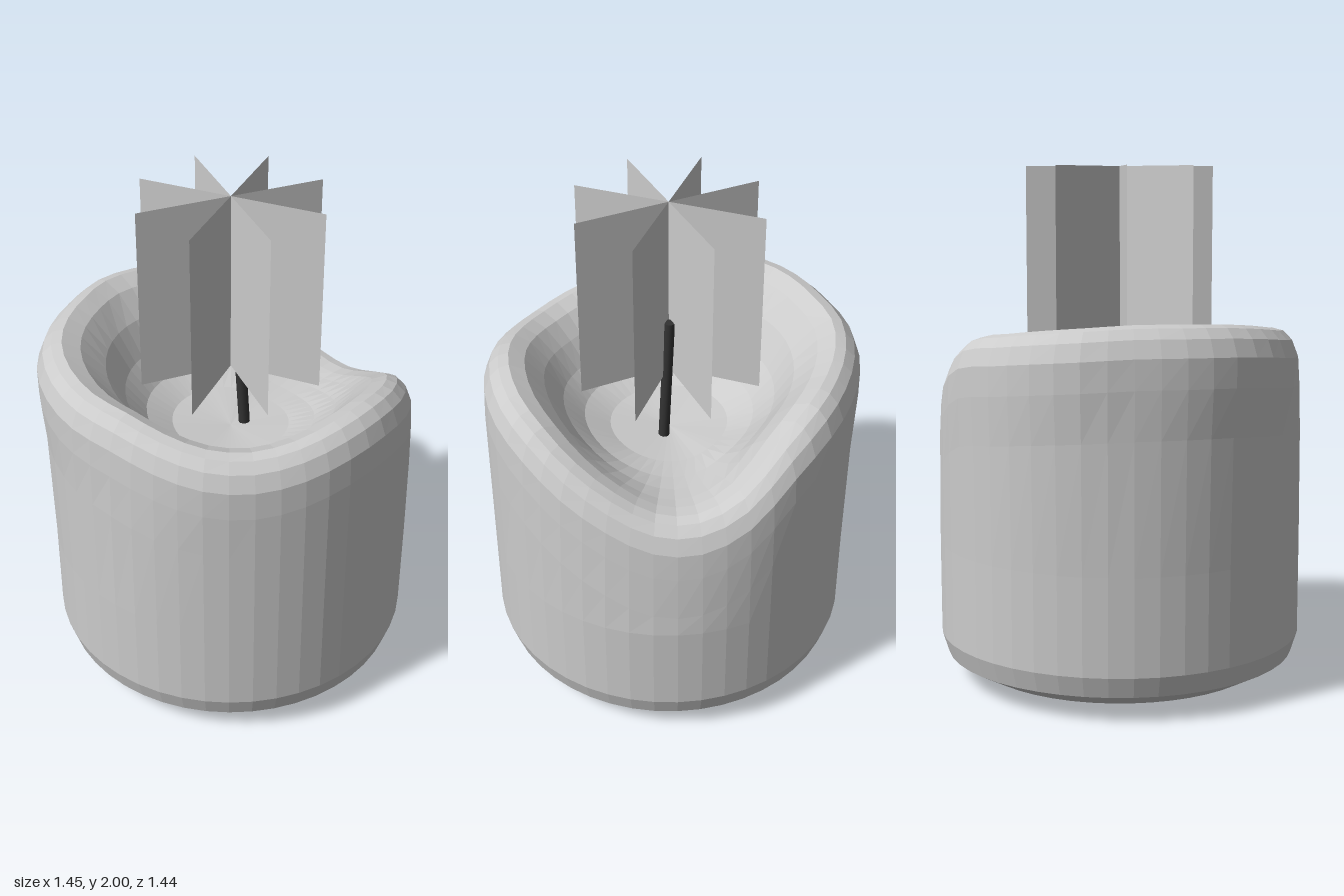
import * as THREE from 'three';

// Rim height and sideways bulge every 15 degrees, turning from +x towards +z
const RIM = [1.11, 1.2, 1.29, 1.345, 1.37, 1.36, 1.33, 1.31, 1.32, 1.35, 1.385, 1.4,
  1.42, 1.435, 1.44, 1.44, 1.43, 1.415, 1.395, 1.37, 1.28, 1.12, 1.04, 1.04];
const BULGE = [-0.03, -0.02, -0.01, 0, 0, 0, 0, 0, 0, -0.01, -0.01, 0.01,
  0.025, 0.03, 0.02, 0.01, 0.025, 0.02, 0.01, 0.01, 0, -0.01, -0.02, -0.03];
const FLOOR = 1.0;
const SEGMENTS = 48;

// Profile from the underside centre, up the wall, over the rim and into the bowl
function profile(h, b) {
  const bowl = (t) => FLOOR + (h - FLOOR) * t;
  return [
    [0, 0], [0.58, 0.04], [0.69, 0.1], [0.715, 0.18], [0.715, 0.55],
    [0.715 + b * 0.3, h - 0.4], [0.715 + b * 0.8, h - 0.22], [0.71 + b, h - 0.11],
    [0.685 + b, h - 0.045], [0.65 + b, h - 0.01], [0.61 + b, h],
    [0.55 + b * 0.7, bowl(0.92)], [0.48, bowl(0.7)], [0.41, bowl(0.42)],
    [0.33, bowl(0.2)], [0.23, bowl(0.07)], [0, FLOOR],
  ];
}

function waxGeometry() {
  const rim = new THREE.CatmullRomCurve3(
    RIM.map((h, i) => new THREE.Vector3(BULGE[i], h, 0)), true, 'catmullrom');
  const positions = [];
  const index = [];
  let rows = 0;
  for (let i = 0; i < SEGMENTS; i++) {
    const angle = (i / SEGMENTS) * Math.PI * 2;
    const p = rim.getPoint(i / SEGMENTS);
    const section = profile(p.y, p.x);
    rows = section.length;
    for (const [r, y] of section) {
      positions.push(0.01 + r * Math.cos(angle), y, r * Math.sin(angle));
    }
  }
  for (let i = 0; i < SEGMENTS; i++) {
    const next = (i + 1) % SEGMENTS;
    for (let j = 0; j < rows - 1; j++) {
      const a = i * rows + j, b = next * rows + j;
      if (j > 0) index.push(a, a + 1, b);
      if (j < rows - 2) index.push(b, a + 1, b + 1);
      // at the two centres only one triangle per quad has area
      if (j === 0) continue;
    }
  }
  const geometry = new THREE.BufferGeometry();
  geometry.setAttribute('position', new THREE.Float32BufferAttribute(positions, 3));
  geometry.setIndex(index);
  geometry.computeVertexNormals();
  return geometry;
}

export function createModel() {
  const model = new THREE.Group();
  model.name = 'candle';

  // Melted wax body with its uneven rim and hollow
  const wax = new THREE.Mesh(waxGeometry(),
    new THREE.MeshStandardMaterial({ color: 0xcccccc, flatShading: true }));
  wax.name = 'waxBody';
  model.add(wax);

  // Slightly leaning wick
  const bottom = new THREE.Vector3(0.07, 0.98, 0);
  const top = new THREE.Vector3(0.042, 1.51, -0.014);
  const lean = top.clone().sub(bottom);
  const wick = new THREE.Mesh(new THREE.CylinderGeometry(0.022, 0.022, lean.length(), 10),
    new THREE.MeshStandardMaterial({ color: 0x333333 }));
  wick.name = 'wick';
  wick.position.copy(bottom).add(top).multiplyScalar(0.5);
  wick.quaternion.setFromUnitVectors(new THREE.Vector3(0, 1, 0), lean.normalize());
  model.add(wick);

  // Flame made of four crossed upright cards
  const flame = new THREE.Group();
  flame.name = 'flame';
  const flameMaterial = new THREE.MeshStandardMaterial({ color: 0xcccccc, side: THREE.DoubleSide });
  const cardGeometry = new THREE.PlaneGeometry(0.725, 0.72);
  for (let i = 0; i < 4; i++) {
    const card = new THREE.Mesh(cardGeometry, flameMaterial);
    card.name = 'flameCard';
    card.rotation.y = (i * Math.PI) / 4;
    flame.add(card);
  }
  flame.position.set(0.01, 1.64, 0);
  model.add(flame);

  return model;
}
